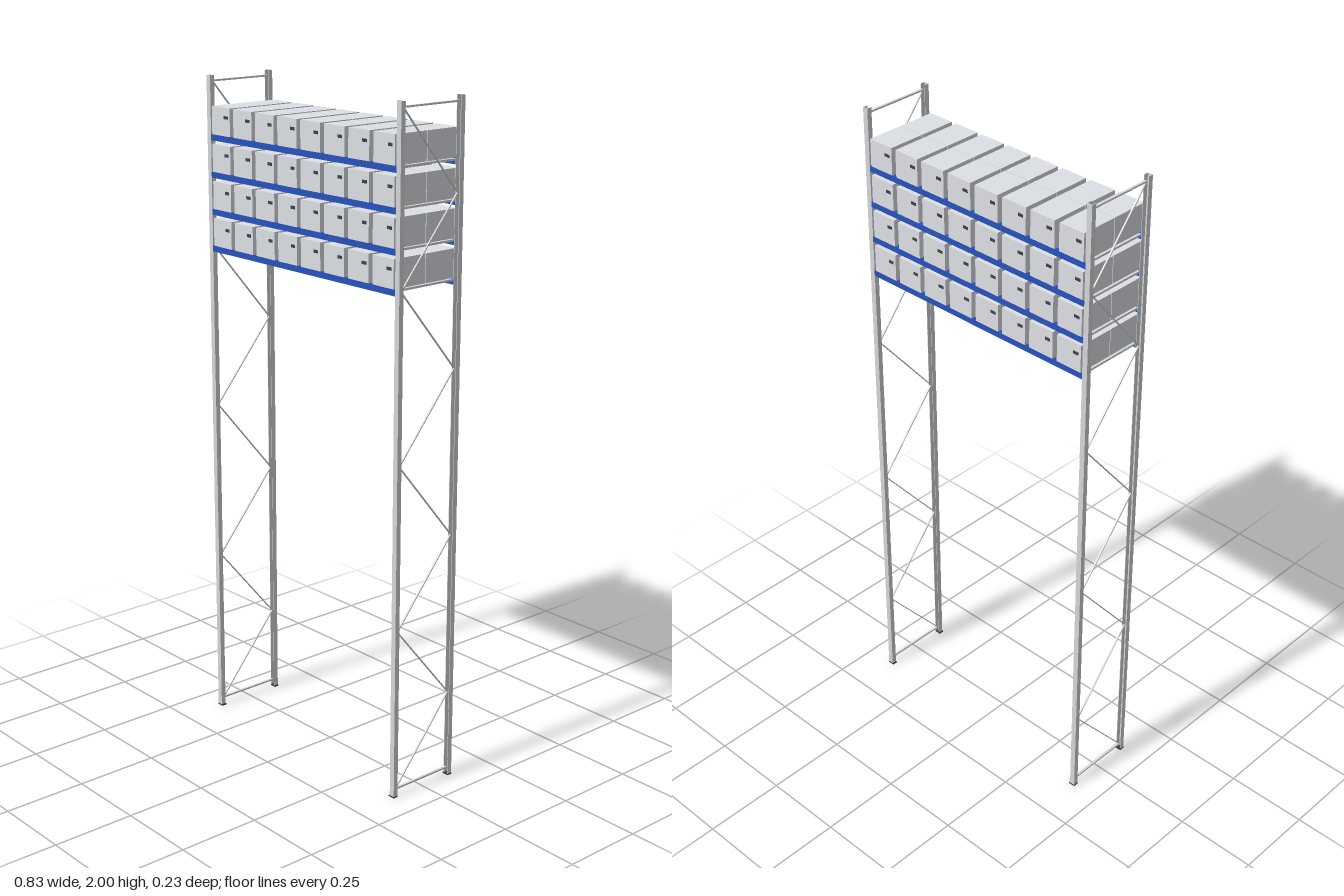
import * as THREE from 'three';

const paint = (name, color) => {
  const m = new THREE.MeshStandardMaterial({ color });
  m.name = name;
  return m;
};

// Thin C-section upright, open towards -z, extruded up the y axis
function channelGeometry(width, depth, wall, height) {
  const w = width / 2, d = depth / 2;
  const outline = [
    [-w, -d], [w, -d], [w, d], [w - wall, d],
    [w - wall, -d + wall], [-w + wall, -d + wall], [-w + wall, d], [-w, d],
  ].map(([x, y]) => new THREE.Vector2(x, y));
  const geo = new THREE.ExtrudeGeometry(new THREE.Shape(outline), { depth: height, bevelEnabled: false });
  return geo.rotateX(-Math.PI / 2);
}

export function createModel() {
  const steel = paint('galvanised steel', 0xd4d6d8);
  const blue = paint('blue beam', 0x2853bd);
  const boxGrey = paint('box grey', 0xdde0e4);
  const dark = paint('dark grey', 0x3c4149);

  const model = new THREE.Group();
  model.name = 'storageRack';

  const box = (parent, name, mat, size, pos) => {
    const mesh = new THREE.Mesh(new THREE.BoxGeometry(...size), mat);
    mesh.name = name;
    mesh.position.set(...pos);
    parent.add(mesh);
    return mesh;
  };

  // Two upright frames: hollow posts on feet, horizontal ties and zigzag bracing
  const postGeo = channelGeometry(0.017, 0.015, 0.0015, 1.996);
  for (const side of [-1, 1]) {
    const frame = new THREE.Group();
    frame.name = side > 0 ? 'leftFrame' : 'rightFrame';
    frame.position.x = side * 0.4065;
    model.add(frame);
    for (const s of [-1, 1]) {
      const post = new THREE.Mesh(postGeo, steel);
      post.name = 'post';
      post.position.set(0, 0.004, s * 0.1085);
      post.rotation.y = s > 0 ? 0 : Math.PI;
      frame.add(post);
      box(frame, 'postFoot', dark, [0.021, 0.004, 0.016], [-side * 0.0015, 0.002, s * 0.1085]);
    }
    for (const y of [0.024, 1.984]) {
      box(frame, 'horizontalTie', steel, [0.007, 0.005, 0.202], [0, y, 0]);
    }
    const bays = 8, rise = 0.245, reach = 0.204;
    for (let i = 0; i < bays; i++) {
      const brace = box(frame, 'diagonalBrace', steel,
        [0.005, 0.003, Math.hypot(rise, reach)], [0, 0.024 + (i + 0.5) * rise, 0]);
      brace.rotation.x = (i % 2 ? -1 : 1) * Math.atan2(rise, reach);
    }
  }

  // Four shelf levels, each with beams, a deck and two rows of boxes
  const bh = 0.082, bd = 0.115;
  for (let level = 0; level < 4; level++) {
    const shelf = new THREE.Group();
    shelf.name = 'shelf' + (level + 1);
    shelf.position.y = 1.501 + level * 0.11;
    model.add(shelf);

    for (const s of [-1, 1]) {
      box(shelf, 'beam', blue, [0.797, 0.018, 0.0135], [0, -0.009, s * 0.1093]);
    }
    box(shelf, 'deck', steel, [0.797, 0.006, 0.206], [0, -0.004, 0]);
    for (const x of [-0.2, 0, 0.2]) {
      box(shelf, 'deckSupport', steel, [0.006, 0.003, 0.206], [x, -0.0085, 0]);
    }

    for (let col = 0; col < 8; col++) {
      const x = -0.35 + col * 0.1;
      for (const s of [-1, 1]) {
        const bin = new THREE.Group();
        bin.name = s > 0 ? 'frontBox' : 'backBox';
        bin.position.set(x, 0, s * 0.0585);
        bin.rotation.y = s > 0 ? 0 : Math.PI;
        shelf.add(bin);
        box(bin, 'carton', boxGrey, [0.084, bh, bd], [0, bh / 2, 0]);
        box(bin, 'label', dark, [0.018, 0.009, 0.001], [0.024, 0.054, bd / 2 + 0.0003]);
      }
    }
  }
  return model;
}
